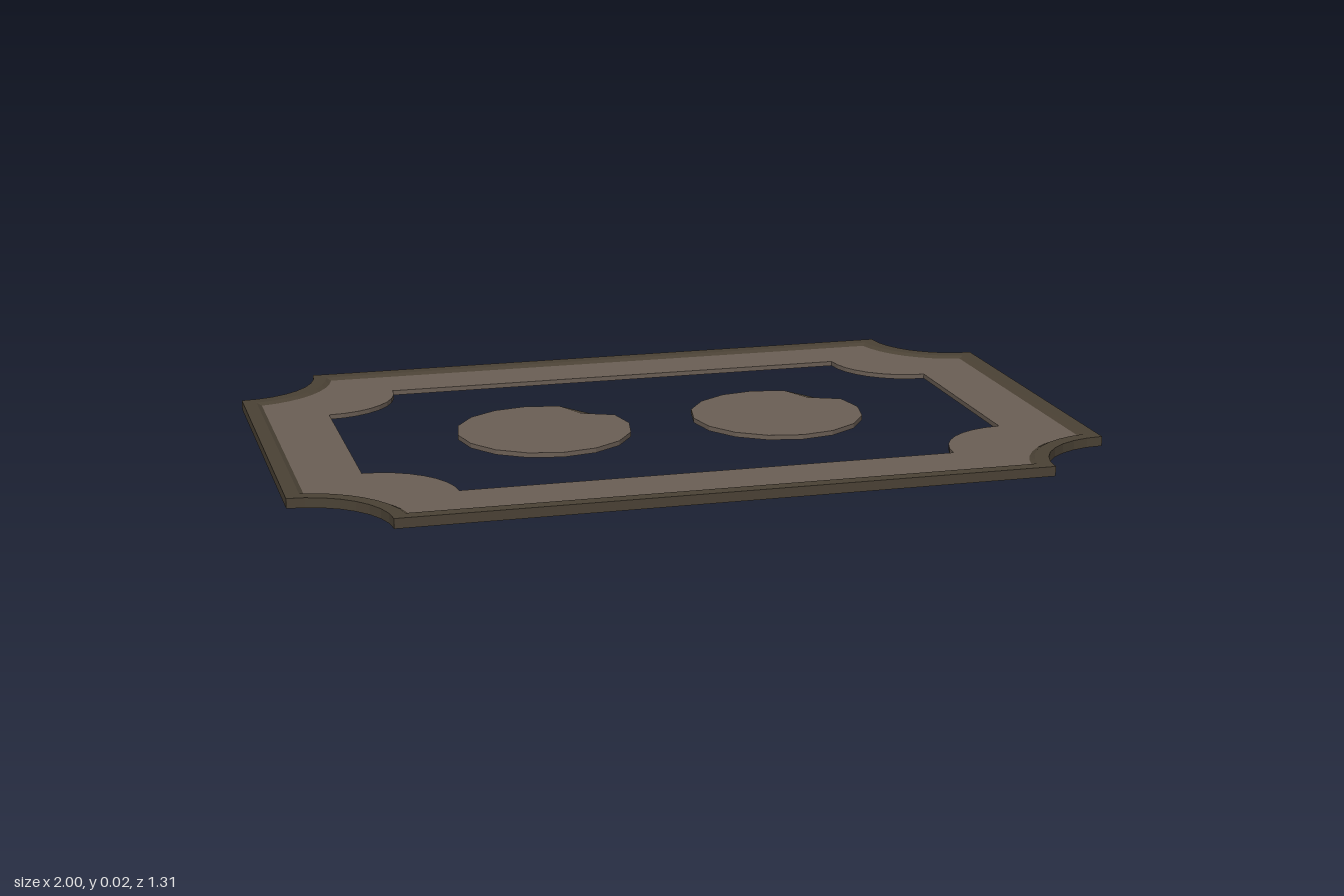
import * as THREE from 'three';

const ARC = 8;

// Rectangle outline with scooped corners, counterclockwise; d insets it evenly.
function outline(hx, hy, r, d = 0) {
  const R = r + d, k = Math.asin(d / R), corner = [];
  for (let i = 0; i <= ARC; i++) {
    const a = -(Math.PI / 2 + k + (Math.PI / 2 - 2 * k) * i / ARC);
    corner.push([hx + R * Math.cos(a), hy + R * Math.sin(a)]);
  }
  const mirrored = corner.map(([x, y]) => [-x, y]).reverse();
  const half = [...corner, ...mirrored];
  return [...half, ...half.map(([x, y]) => [-x, -y])].map(p => new THREE.Vector2(...p));
}

// Sweeps a closed [inset, height] profile around the scooped outline.
function frameGeometry(hx, hy, r, profile) {
  const loops = profile.map(([d]) => outline(hx, hy, r, d));
  const n = loops[0].length, m = profile.length, pos = [], index = [];
  loops.forEach((loop, j) => loop.forEach(p => pos.push(p.x, p.y, profile[j][1])));
  for (let j = 0; j < m; j++) {
    for (let i = 0; i < n; i++) {
      const i2 = (i + 1) % n, j2 = (j + 1) % m;
      const a = j * n + i, b = j * n + i2, c = j2 * n + i2, e = j2 * n + i;
      index.push(a, b, c, a, c, e);
    }
  }
  const indexed = new THREE.BufferGeometry();
  indexed.setAttribute('position', new THREE.Float32BufferAttribute(pos, 3));
  indexed.setIndex(index);
  const g = indexed.toNonIndexed();
  g.computeVertexNormals();
  return g.rotateX(-Math.PI / 2);
}

// Sixteen-sided disc with one chipped top edge; the chip uses the second material.
function chippedDisc(radius, height) {
  const g = new THREE.CylinderGeometry(radius, radius, height, 16).toNonIndexed();
  const p = g.attributes.position, c = radius * Math.SQRT1_2, moved = new Set();
  for (let i = 0; i < p.count; i++) {
    if (p.getY(i) > 0 && Math.hypot(p.getX(i) - c, p.getZ(i) + c) < 0.01) {
      p.setXYZ(i, c * 0.78, p.getY(i), -c * 0.78);
      moved.add(i);
    }
  }
  g.computeVertexNormals();
  g.clearGroups();
  for (let t = 0; t < p.count; t += 3) {
    const isCap = [0, 1, 2].every(k => p.getY(t + k) > 0);
    const isChip = !isCap && [0, 1, 2].some(k => moved.has(t + k));
    g.addGroup(t, 3, isChip ? 1 : 0);
  }
  return g;
}

export function createModel() {
  const model = new THREE.Group();
  model.name = 'scoopedPlaque';
  const panelMat = new THREE.MeshStandardMaterial({ color: 0x6b5f55 });
  panelMat.name = 'warm grey brown';
  const rimMat = new THREE.MeshStandardMaterial({ color: 0x4b4235 });
  rimMat.name = 'dark olive brown';

  function add(name, geometry, material) {
    const mesh = new THREE.Mesh(geometry, material);
    mesh.name = name;
    model.add(mesh);
    return mesh;
  }

  // Raised rim, bevelled down to the panel on both faces
  add('rim', frameGeometry(1, 0.655, 0.212, [
    [0, 0], [0, 0.024], [0.034, 0.024], [0.046, 0.018], [0.046, 0.006], [0.034, 0],
  ]), rimMat);

  // Recessed panel with a scooped opening
  const shape = new THREE.Shape(outline(1, 0.655, 0.212, 0.044));
  shape.holes.push(new THREE.Path(outline(0.8, 0.463, 0.195).reverse()));
  const panel = new THREE.ExtrudeGeometry(shape, { depth: 0.012, bevelEnabled: false });
  panel.rotateX(-Math.PI / 2);
  add('panel', panel, panelMat).position.y = 0.006;

  // Two discs in the opening
  for (const [name, x] of [['leftDisc', 0.302], ['rightDisc', -0.302]]) {
    add(name, chippedDisc(0.218, 0.012), [panelMat, rimMat]).position.set(x, 0.012, 0);
  }
  return model;
}
